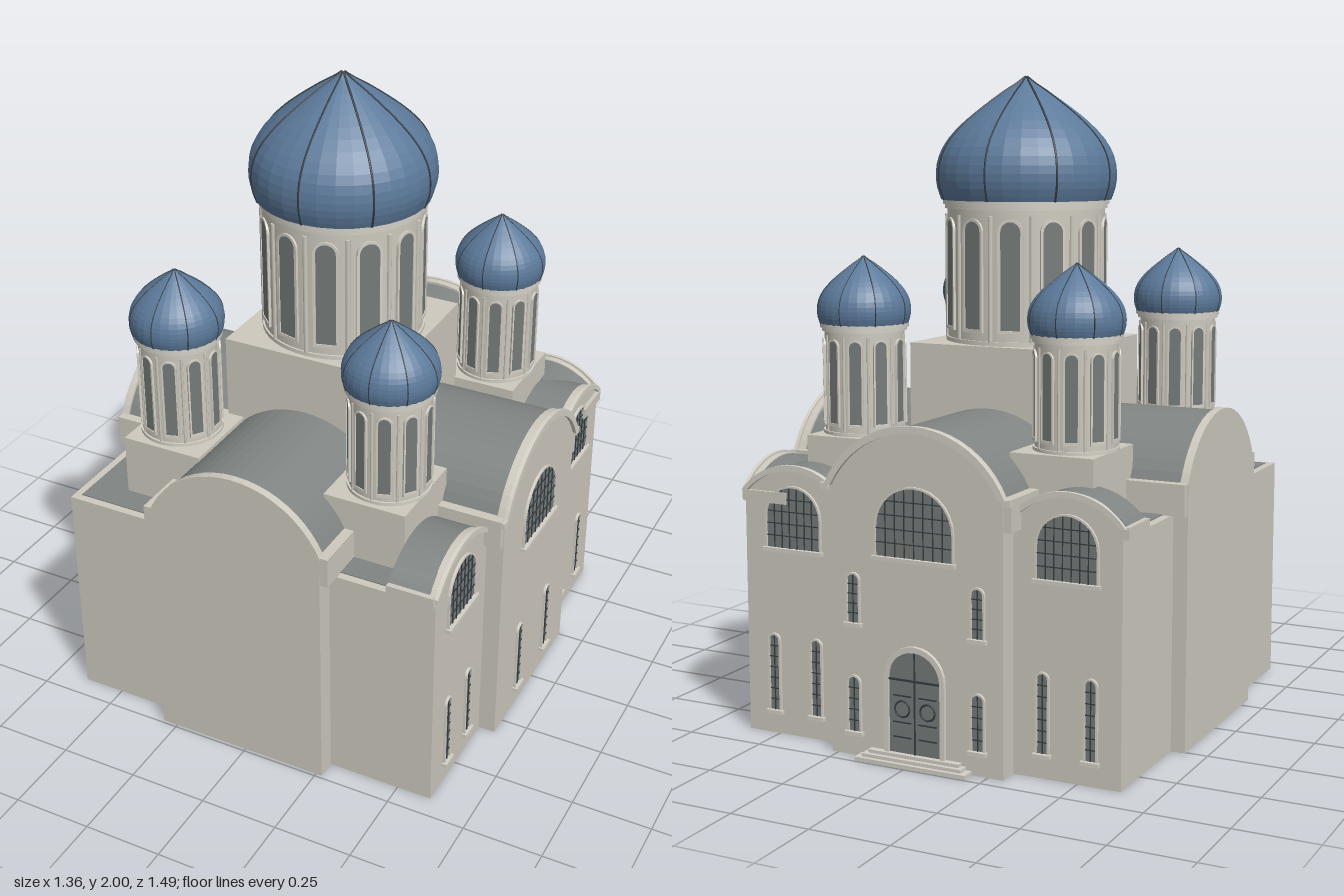
import * as THREE from 'three';

const mat = (name, color) => Object.assign(new THREE.MeshStandardMaterial({ color }), { name });

export function createModel() {
  const wall = mat('stone wall', 0xcdc9be), trim = mat('pale trim', 0xd4d0c6);
  const roof = mat('grey roof', 0x808583), blue = mat('blue dome', 0x5c7a9b);
  const glass = mat('grey glass', 0x757b79), iron = mat('dark iron', 0x363d43);
  const model = new THREE.Group();
  const CX = -0.015, CZ = 0.028;

  const add = (parent, name, geo, m, x = 0, y = 0, z = 0) => {
    const mesh = new THREE.Mesh(geo, m);
    mesh.name = name;
    mesh.position.set(x, y, z);
    parent.add(mesh);
    return mesh;
  };
  // Box given by its limits
  const block = (parent, name, m, x0, x1, y0, y1, z0, z1) =>
    add(parent, name, new THREE.BoxGeometry(x1 - x0, y1 - y0, z1 - z0), m, (x0 + x1) / 2, (y0 + y1) / 2, (z0 + z1) / 2);
  const group = (parent, name, x, y, z, ry = 0) => {
    const g = new THREE.Group();
    g.name = name;
    g.position.set(x, y, z);
    g.rotation.y = ry;
    parent.add(g);
    return g;
  };
  const extrude = (pts, depth, hole) => {
    const s = new THREE.Shape(pts);
    if (hole) s.holes.push(new THREE.Path(hole));
    return new THREE.ExtrudeGeometry(s, { depth, bevelEnabled: false });
  };
  // Circular segment from right to left
  const arc = (half, rise, y0, n = 20) => {
    const r = (half * half + rise * rise) / (2 * rise), cy = y0 + rise - r;
    const a = Math.atan2(y0 - cy, half);
    return Array.from({ length: n + 1 }, (_, i) => {
      const t = a + (Math.PI - 2 * a) * i / n;
      return new THREE.Vector2(r * Math.cos(t), cy + r * Math.sin(t));
    });
  };
  // Round-headed outline
  const arched = (w, y0, y1) => [new THREE.Vector2(-w / 2, y0), new THREE.Vector2(w / 2, y0), ...arc(w / 2, w / 2, y1 - w / 2, 14)];
  // Raised band following an arc
  const band = (half, rise, y0, t, depth) =>
    extrude([...arc(half, rise, y0), ...arc(half - t, rise - t, y0).reverse()], depth);

  // Window on a face: pane, surround, bars and sill
  function windowOn(face, u, w, y0, y1, cols, rows) {
    const g = group(face, 'window', u, 0, 0);
    add(g, 'pane', extrude(arched(w, y0, y1), 0.003), glass);
    add(g, 'surround', extrude(arched(w + 0.012, y0 - 0.006, y1 + 0.006), 0.008, arched(w, y0, y1)), trim);
    const r = w / 2, spring = y1 - r;
    for (let i = 1; i < cols; i++) {
      const x = -r + w * i / cols, top = spring + Math.sqrt(r * r - x * x);
      block(g, 'upright bar', iron, x - 0.0015, x + 0.0015, y0, top, 0, 0.006);
    }
    for (let i = 1; i < rows; i++) {
      const y = y0 + (y1 - y0) * i / rows;
      const h = y > spring ? Math.sqrt(r * r - (y - spring) ** 2) : r;
      block(g, 'cross bar', iron, -h, h, y - 0.0015, y + 0.0015, 0, 0.006);
    }
    block(g, 'sill', trim, -r - 0.012, r + 0.012, y0 - 0.012, y0, 0, 0.016);
  }

  // Main body and the flat roof behind its rim
  block(model, 'cornerBlocks', wall, -0.635, 0.61, 0, 0.72, -0.635, 0.68);
  block(model, 'cornerRoof', roof, -0.61, 0.585, 0.715, 0.723, -0.61, 0.655);

  // Arms of the cross: walls, eaves, barrel roof and end gables
  function arm(name, x, z, ry, back, front) {
    const g = group(model, name, x, 0, z, ry);
    block(g, 'armWall', wall, -0.285, 0.285, 0, 0.812, back, front);
    block(g, 'eaves', wall, -0.31, 0.31, 0.72, 0.815, back + 0.002, front - 0.002);
    add(g, 'barrelRoof', extrude(arc(0.28, 0.178, 0.812), front - back - 0.04), roof, 0, 0, back + 0.02);
    for (const z0 of [back, front - 0.025])
      add(g, 'gable', extrude(arc(0.287, 0.188, 0.81), 0.025), wall, 0, 0, z0);
  }
  arm('longArm', CX, 0, 0, -0.70, 0.74);
  arm('crossArm', 0, CZ, Math.PI / 2, -0.68, 0.665);

  // Decorated arm face; local z points out of the wall
  function armFace(name, x, z, ry) {
    const f = group(model, name, x, 0, z, ry);
    add(f, 'archTrim', band(0.297, 0.192, 0.81, 0.022, 0.012), trim);
    for (const s of [-1, 1]) block(f, 'trimEnd', trim, s * 0.298 - 0.014, s * 0.298 + 0.014, 0.795, 0.815, 0, 0.01);
    windowOn(f, 0, 0.25, 0.615, 0.82, 8, 5);
    return f;
  }
  // Decorated corner face with a short vault behind it
  function cornerFace(name, x, z, ry, half) {
    const f = group(model, name, x, 0, z, ry);
    block(f, 'gableEaves', wall, -half - 0.02, half + 0.02, 0.72, 0.755, -0.15, -0.002);
    add(f, 'gable', extrude(arc(half, 0.083, 0.753), 0.022), wall, 0, 0, -0.022);
    add(f, 'vault', extrude(arc(half + 0.005, 0.08, 0.753), 0.13), roof, 0, 0, -0.15);
    block(f, 'gableWall', wall, -half, half, 0.70, 0.755, -0.02, 0);
    add(f, 'archTrim', band(half + 0.015, 0.09, 0.752, 0.018, 0.012), trim);
    windowOn(f, 0, 0.185, 0.585, 0.772, 7, 5);
    for (const s of [-1, 1]) windowOn(f, s * 0.075, 0.032, 0.075, 0.31, 2, 7);
  }
  const sideFace = armFace('sideFace', 0.665, CZ, Math.PI / 2);
  for (const s of [-1, 1]) windowOn(sideFace, s * 0.115, 0.036, 0.075, 0.31, 2, 7);
  cornerFace('sideFrontCorner', 0.61, 0.497, Math.PI / 2, 0.178);
  cornerFace('sideBackCorner', 0.61, -0.447, Math.PI / 2, 0.178);
  cornerFace('backLeftCorner', 0.438, -0.635, Math.PI, 0.165);
  cornerFace('backRightCorner', -0.468, -0.635, Math.PI, 0.165);

  // Entrance face with slit windows, door and steps
  const backFace = armFace('entranceFace', CX, -0.70, Math.PI);
  for (const s of [-1, 1]) {
    windowOn(backFace, s * 0.205, 0.036, 0.075, 0.24, 2, 5);
    windowOn(backFace, s * 0.205, 0.036, 0.405, 0.55, 2, 5);
  }
  const door = group(backFace, 'door', 0, 0, 0);
  add(door, 'doorPanel', extrude(arched(0.17, 0.03, 0.34), 0.004), glass);
  add(door, 'doorSurround', extrude(arched(0.2, 0.03, 0.357), 0.012, arched(0.17, 0.031, 0.34)), trim);
  block(door, 'lintel', iron, -0.085, 0.085, 0.25, 0.256, 0, 0.008);
  block(door, 'leafSeam', iron, -0.002, 0.002, 0.03, 0.34, 0, 0.008);
  for (const s of [-1, 1]) {
    add(door, 'ringOrnament', new THREE.TorusGeometry(0.024, 0.003, 6, 20), iron, s * 0.042, 0.165, 0.005);
    for (const y of [0.08, 0.125, 0.205])
      block(door, 'doorBar', iron, s * 0.042 - 0.03, s * 0.042 + 0.03, y - 0.002, y + 0.002, 0, 0.007);
  }
  block(backFace, 'lowerStep', trim, -0.183, 0.183, 0, 0.012, 0, 0.045);
  block(backFace, 'middleStep', trim, -0.165, 0.165, 0, 0.022, 0, 0.033);
  block(backFace, 'upperStep', trim, -0.15, 0.15, 0, 0.032, 0, 0.02);

  // Drum with arched windows and a ribbed onion dome
  function tower(name, x, z, y0, y1, yTop, rDrum, rDome, count) {
    const g = group(model, name, x, 0, z);
    const ring = (label, r, a, b) =>
      add(g, label, new THREE.CylinderGeometry(r, r, b - a, 48), trim, 0, (a + b) / 2, 0);
    const h = y1 - y0, e = h * 0.03;
    add(g, 'drum', new THREE.CylinderGeometry(rDrum, rDrum, h, 60), wall, 0, (y0 + y1) / 2, 0);
    ring('drumFoot', rDrum + 0.006, y0, y0 + e);
    ring('drumCornice', rDrum + 0.008, y1 - 2 * e, y1 - e);
    ring('domeCollar', rDrum + 0.014, y1 - e, y1 + 0.004);
    const w = 2 * Math.PI * rDrum / count * 0.48, lo = y0 + 0.11 * h, hi = y0 + 0.86 * h;
    for (let i = 0; i < count; i++) {
      const a = (i + 0.5) / count * 2 * Math.PI;
      const bay = group(g, 'drumBay', rDrum * Math.sin(a), 0, rDrum * Math.cos(a), a);
      add(bay, 'drumWindow', extrude(arched(w, lo, hi), 0.003), glass, 0, 0, -0.001);
      add(bay, 'windowSurround', extrude(arched(w * 1.28, lo - 0.01, hi + w * 0.14), 0.008, arched(w, lo, hi)), trim, 0, 0, -0.003);
      const b = i / count * 2 * Math.PI;
      add(g, 'colonette', new THREE.CylinderGeometry(w * 0.12, w * 0.12, h * 0.88, 8), wall,
        rDrum * Math.sin(b), y0 + h * 0.46, rDrum * Math.cos(b));
    }
    const H = yTop - y1;
    const curve = new THREE.SplineCurve([[0.94, 0], [0.985, 0.1], [1, 0.22], [0.965, 0.36], [0.86, 0.5], [0.68, 0.64],
      [0.46, 0.77], [0.25, 0.88], [0.1, 0.95], [0.012, 1]].map(([r, y]) => new THREE.Vector2(r * rDome, y1 + y * H)));
    const profile = curve.getPoints(18);
    // Faceted dome
    const dome = new THREE.LatheGeometry([new THREE.Vector2(0.001, y1), ...profile], 32).toNonIndexed();
    dome.computeVertexNormals();
    add(g, 'dome', dome, blue);
    const path = new THREE.CatmullRomCurve3(profile.map(p => new THREE.Vector3(p.x, p.y, 0)));
    const rib = new THREE.TubeGeometry(path, 28, rDome * 0.012, 5);
    for (let i = 0; i < 8; i++) add(g, 'domeRib', rib, iron).rotation.y = i * Math.PI / 4;
    add(g, 'finial', new THREE.SphereGeometry(rDome * 0.03, 10, 8), iron, 0, yTop - rDome * 0.03, 0);
  }

  // Central tower on its square base
  block(model, 'centralBase', wall, CX - 0.27, CX + 0.27, 0.7, 1.18, CZ - 0.27, CZ + 0.27);
  tower('centralTower', CX, CZ, 1.18, 1.62, 2.0, 0.248, 0.285, 12);

  // Four corner towers on pedestals
  for (const x of [-0.375, 0.34]) for (const z of [-0.375, 0.425]) {
    const sx = Math.sign(x), sz = Math.sign(z);
    const px = x - sx * 0.013, pz = z;
    block(model, 'pedestal', wall, px - 0.132, px + 0.132, 0.7, 0.915, pz - 0.145, pz + 0.145 - (sz > 0 ? 0 : 0.002));
    tower('cornerTower', x, z, 0.915, 1.25, 1.455, 0.122, 0.144, 10);
  }
  return model;
}
